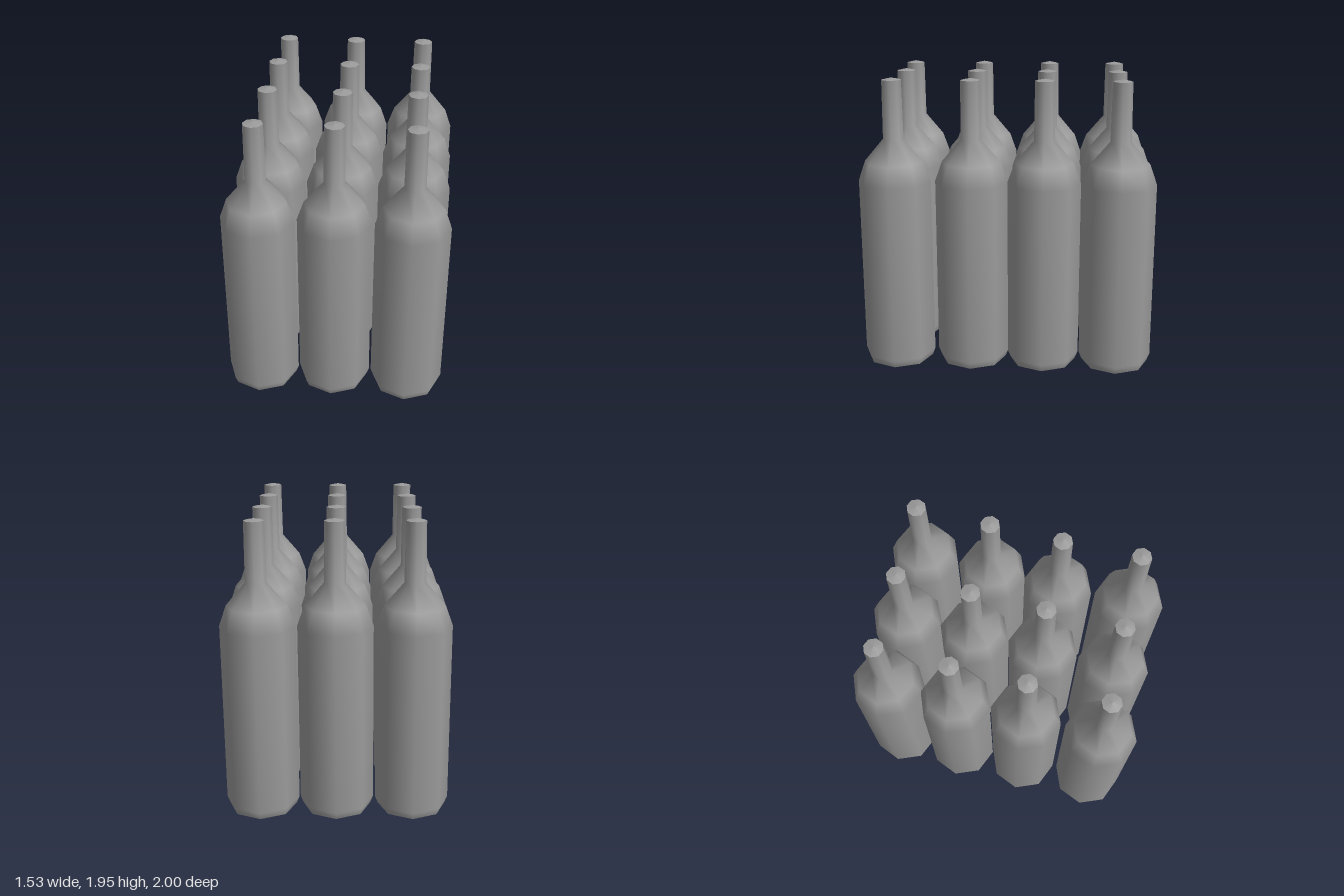
import * as THREE from 'three';
import { mergeGeometries } from 'three/addons/utils/BufferGeometryUtils.js';

const SIDES = 8;

// Revolve a short [radius, height] profile into an eight-sided surface
function revolve(profile) {
  return new THREE.LatheGeometry(profile.map(([r, y]) => new THREE.Vector2(r, y)), SIDES);
}

// One bottle: flat base, smooth body with shoulder and neck, slightly domed top
function bottleGeometry() {
  const base = revolve([[0, 0], [0.226, 0]]);
  const body = revolve([
    [0.226, 0], [0.245, 0.05], [0.244, 1.26], [0.196, 1.395], [0.069, 1.545], [0.065, 1.936],
  ]);
  const top = revolve([[0.065, 1.936], [0, 1.95]]);
  return mergeGeometries([base, body, top]);
}

// Bottle positions [x, z], row by row from back to front, slightly uneven
const ROWS = [
  [[-0.49, -0.756], [0.013, -0.748], [0.51, -0.744]],
  [[-0.506, -0.276], [-0.003, -0.261], [0.493, -0.247]],
  [[-0.511, 0.216], [-0.014, 0.229], [0.478, 0.237]],
  [[-0.522, 0.736], [-0.025, 0.73], [0.478, 0.751]],
];

export function createModel() {
  const group = new THREE.Group();
  group.name = 'bottles';
  const geometry = bottleGeometry();
  const material = new THREE.MeshStandardMaterial({ color: 0x9a9a9a });

  ROWS.forEach((row, i) => {
    row.forEach(([x, z], j) => {
      const bottle = new THREE.Mesh(geometry, material);
      bottle.name = `bottleRow${i + 1}Column${j + 1}`;
      bottle.position.set(x, 0.004, z);
      // a slight turn and sideways lean shared by the whole set
      bottle.rotation.set(0, -0.03, -0.007);
      group.add(bottle);
    });
  });
  return group;
}
